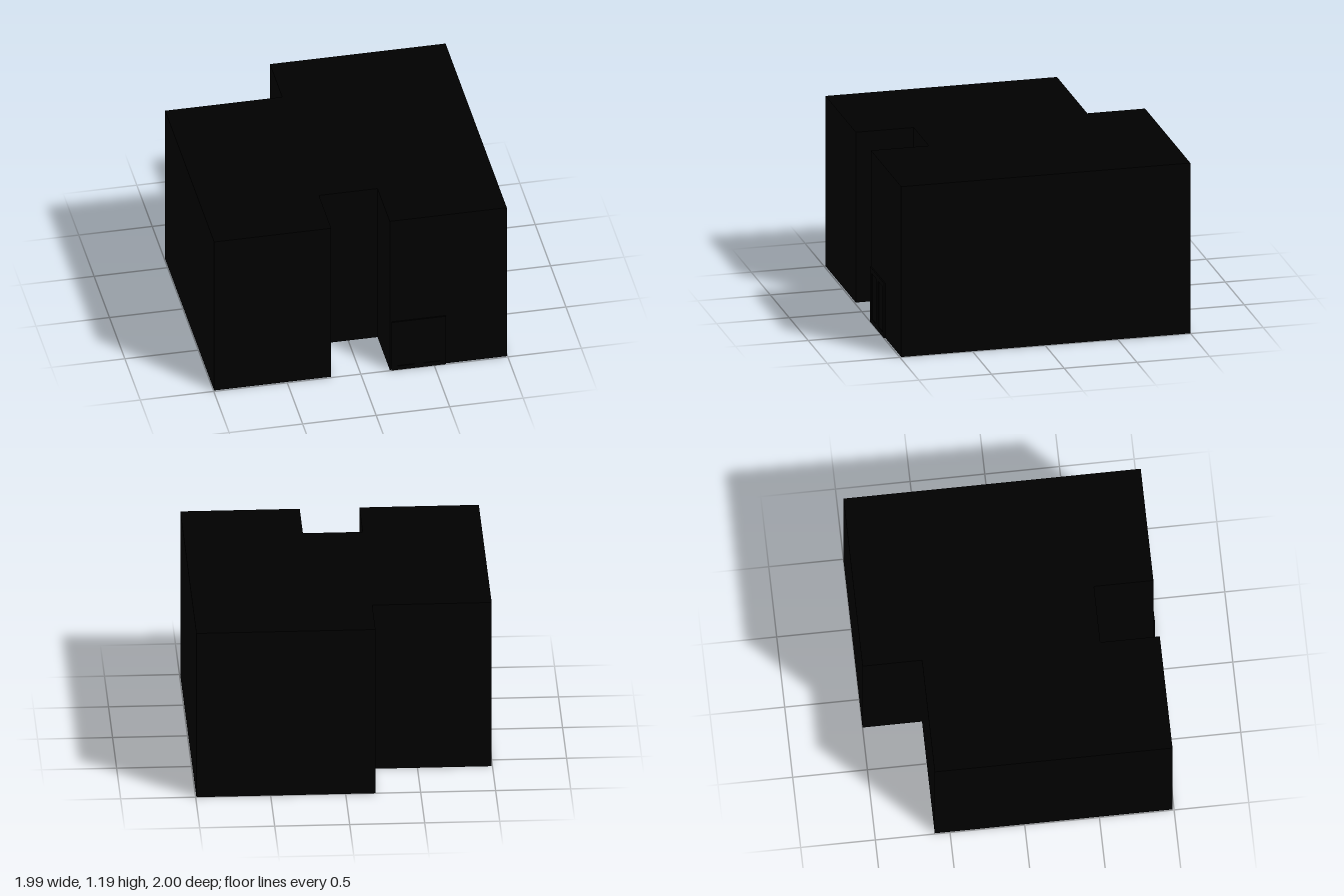
import * as THREE from 'three';

const HEIGHT = 1.194;
const FRONT = 0.99; // z of the front wall plane

// Building outline as [x, z], walked around the plan
const PLAN = [
  [-0.995, FRONT], [-0.199, FRONT], [-0.199, 0.592], [0.199, 0.592],
  [0.199, FRONT], [0.995, FRONT], [0.995, -1], [-0.199, -1],
  [-0.199, -0.602], [-0.995, -0.602],
];

const black = new THREE.MeshStandardMaterial({ color: 0x000000 });
const blackShell = new THREE.MeshStandardMaterial({ color: 0x000000, side: THREE.DoubleSide });

function add(group, name, geometry, material) {
  const mesh = new THREE.Mesh(geometry, material);
  mesh.name = name;
  group.add(mesh);
  return mesh;
}

function rectangle(Type, x0, y0, x1, y1) {
  return new Type([[x0, y0], [x1, y0], [x1, y1], [x0, y1]].map(([x, y]) => new THREE.Vector2(x, y)));
}

export function createModel() {
  const model = new THREE.Group();
  model.name = 'building';

  // Thin outer walls, open underneath
  const walls = new THREE.Group();
  walls.name = 'walls';
  model.add(walls);
  PLAN.forEach(([x0, z0], i) => {
    const [x1, z1] = PLAN[(i + 1) % PLAN.length];
    const wall = add(walls, 'wall', new THREE.PlaneGeometry(Math.hypot(x1 - x0, z1 - z0), HEIGHT), blackShell);
    wall.position.set((x0 + x1) / 2, HEIGHT / 2, (z0 + z1) / 2);
    wall.rotation.y = Math.atan2(z0 - z1, x1 - x0);
  });

  // Flat roof; the shape's y becomes -z
  const roofShape = new THREE.Shape(PLAN.map(([x, z]) => new THREE.Vector2(x, -z)));
  const roof = add(model, 'roof', new THREE.ShapeGeometry(roofShape), blackShell);
  roof.rotation.x = -Math.PI / 2;
  roof.position.y = HEIGHT;

  // Double door: a frame through the wall with two recessed leaves
  const door = new THREE.Group();
  door.name = 'doubleDoor';
  model.add(door);
  const frameShape = rectangle(THREE.Shape, 0.21, 0, 0.58, 0.385);
  for (const x of [0.25, 0.425]) {
    frameShape.holes.push(rectangle(THREE.Path, x, 0.03, x + 0.115, 0.35));
    const leaf = add(door, 'doorLeaf', new THREE.BoxGeometry(0.115, 0.32, 0.008), black);
    leaf.position.set(x + 0.0575, 0.19, FRONT);
  }
  const frame = add(door, 'doorFrame',
    new THREE.ExtrudeGeometry(frameShape, { depth: 0.02, bevelEnabled: false }), black);
  frame.position.z = FRONT - 0.01;

  return model;
}
